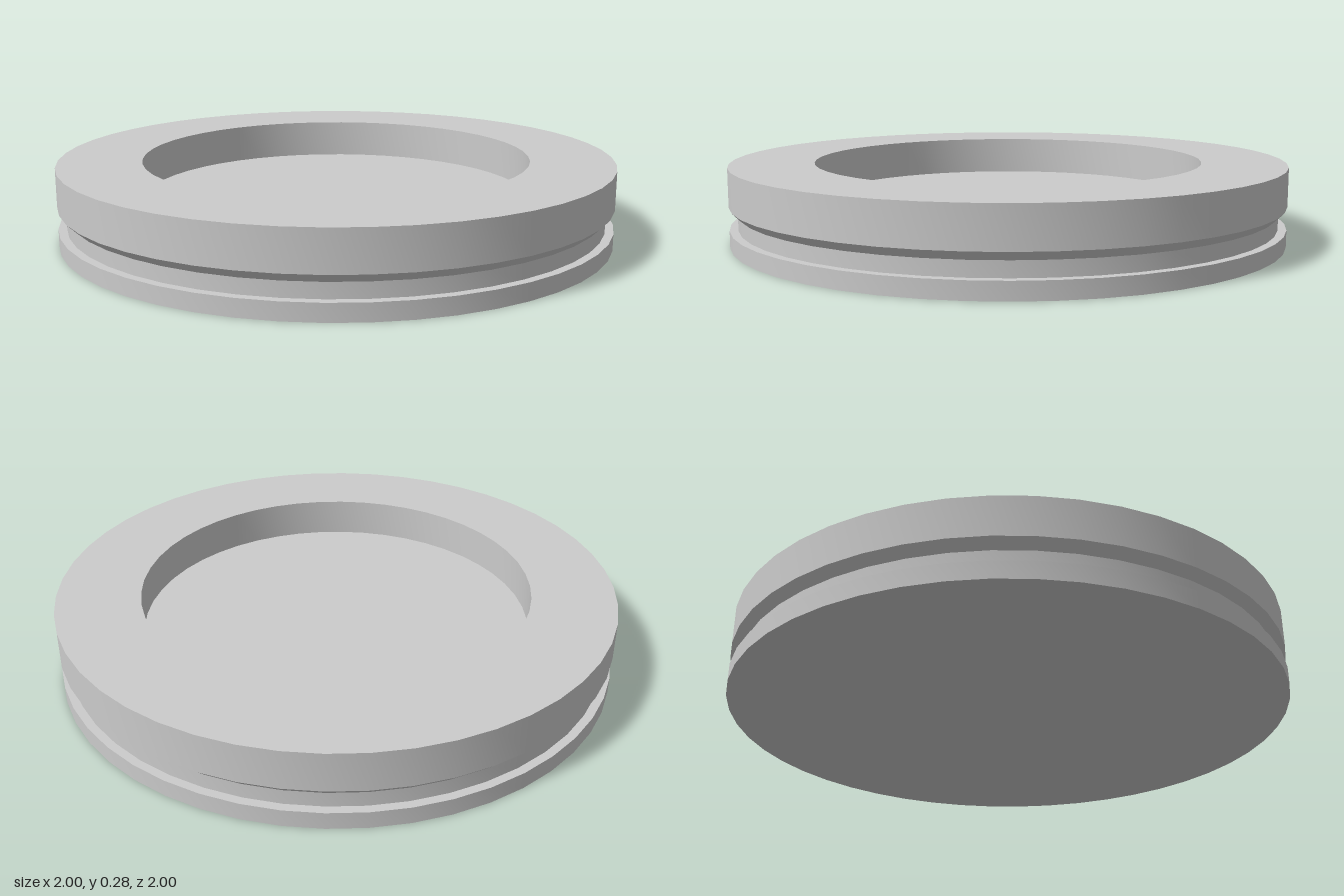
import * as THREE from 'three';
import { toCreasedNormals } from 'three/addons/utils/BufferGeometryUtils.js';

const SEGMENTS = 48;

export function createModel() {
  const group = new THREE.Group();
  group.name = 'recessedDisc';

  // Cross-section [radius, height], from bottom centre around to recess centre
  const profile = [
    [0, 0], [1, 0], [1, 0.06],     // base flange
    [0.97, 0.06], [0.97, 0.112],   // side groove
    [1, 0.142], [1, 0.28],         // chamfer and upper rim
    [0.7, 0.28], [0.7, 0.14],      // recess wall
    [0, 0.14],                     // recess floor
  ].map(([r, y]) => new THREE.Vector2(r, y));

  // Smooth around the walls, sharp at every profile corner
  const geometry = toCreasedNormals(new THREE.LatheGeometry(profile, SEGMENTS), 0.4);
  const body = new THREE.Mesh(geometry, new THREE.MeshStandardMaterial({ color: 0xcccccc }));
  body.name = 'groovedBody';
  group.add(body);

  return group;
}
